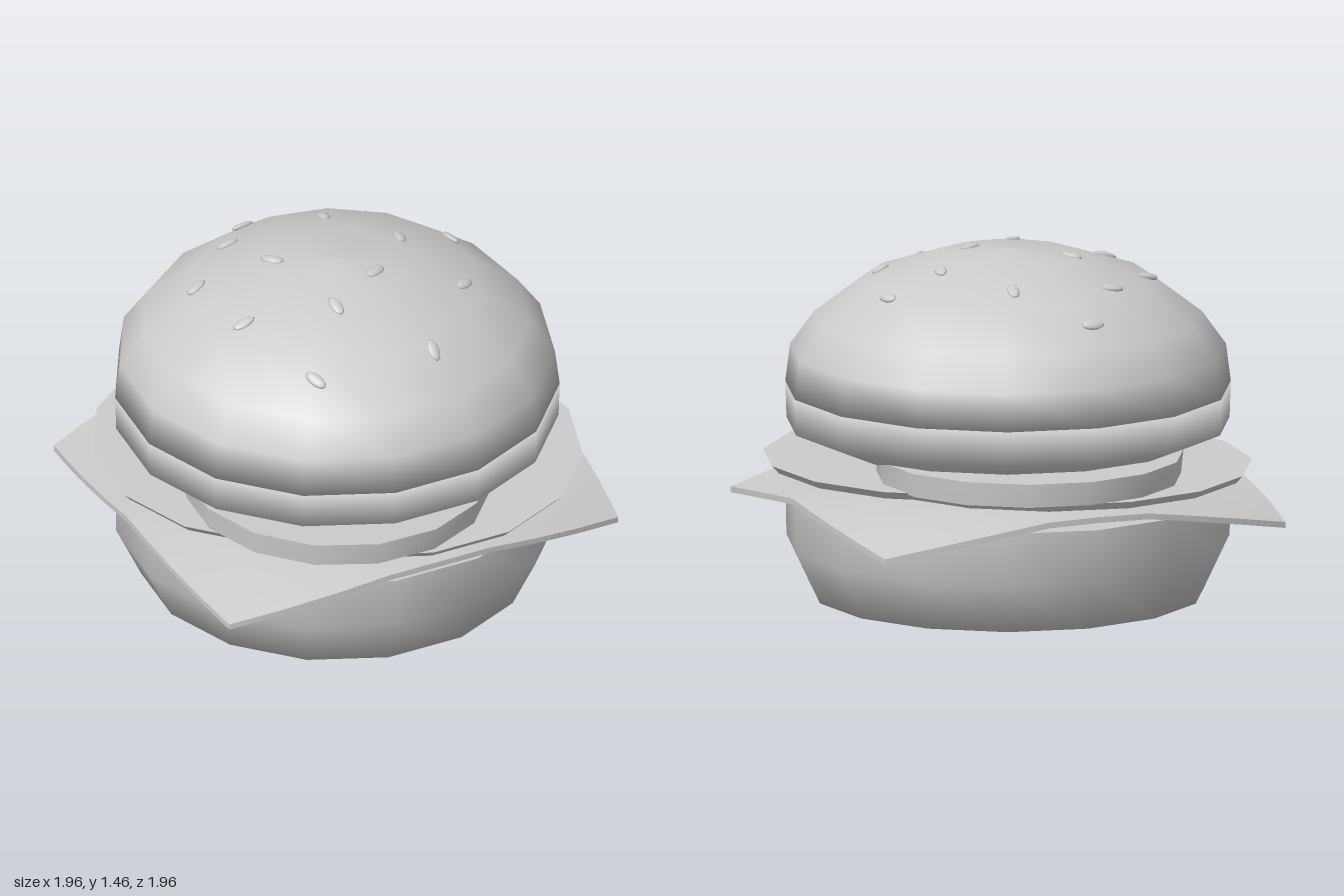
import * as THREE from 'three';
import { toCreasedNormals } from 'three/addons/utils/BufferGeometryUtils.js';

const SIDES = 15;
const material = new THREE.MeshStandardMaterial({ color: 0xcccccc });

function addMesh(group, name, geometry) {
  const mesh = new THREE.Mesh(geometry, material);
  mesh.name = name;
  group.add(mesh);
  return mesh;
}

// Round part turned from [radius, height] pairs, bottom to top
function turned(profile) {
  const points = profile.map(([r, y]) => new THREE.Vector2(r, y));
  return new THREE.LatheGeometry(points, SIDES, Math.PI);
}

// Thin slice with a slightly narrower underside
function slice(radius, thickness, taper) {
  const g = new THREE.CylinderGeometry(radius, radius - taper, thickness, SIDES, 1);
  g.rotateY(Math.PI);
  return toCreasedNormals(g, 0.7);
}

// Square sheet whose edges bulge and whose corners hang down
function cheeseGeometry() {
  const g = new THREE.BoxGeometry(2, 0.025, 2, 8, 1, 8);
  const p = g.attributes.position;
  for (let i = 0; i < p.count; i++) {
    const u = p.getX(i), v = p.getZ(i);
    const fold = Math.max(0, Math.abs(u) - 0.22) / 0.78;
    const sag = 0.04 * u * u + 0.02 * v * v + 0.09 * fold * Math.abs(v);
    p.setXYZ(i,
      u * (0.91 + 0.07 * (1 - v * v)),
      p.getY(i) + 0.505 - sag,
      v * (0.79 + 0.15 * (1 - u * u)));
  }
  return toCreasedNormals(g, 0.7);
}

const DOME = [[0.93, 0.872], [0.91, 1.03], [0.81, 1.17], [0.6, 1.33], [0.3, 1.43], [0, 1.46]];

// Seed spots on the dome: x, z, turn in degrees
const SEEDS = [
  [-0.08, -0.69, 5], [-0.27, -0.46, 5], [0.17, -0.44, 75], [-0.53, -0.24, 20],
  [-0.22, -0.15, -55], [0.35, -0.1, 75], [0.6, -0.12, 100], [-0.5, 0.13, 0],
  [0.11, 0.14, 25], [0.46, 0.27, 30], [-0.145, 0.28, 90], [-0.38, 0.55, -70],
  [0.14, 0.61, 90],
];

function addSeeds(group) {
  const seeds = new THREE.Group();
  seeds.name = 'sesameSeeds';
  group.add(seeds);
  const geometry = new THREE.SphereGeometry(1, 10, 6);
  geometry.scale(0.053, 0.014, 0.026);
  const up = new THREE.Vector3(0, 1, 0);
  for (const [x, z, turn] of SEEDS) {
    // Height and slope of the dome under the seed
    const r = Math.hypot(x, z);
    const k = DOME.findIndex(([radius]) => radius <= r);
    const [r0, y0] = DOME[k - 1], [r1, y1] = DOME[k];
    const slope = (y1 - y0) / (r1 - r0);
    const normal = new THREE.Vector3(-slope * x / r, 1, -slope * z / r).normalize();
    const seed = addMesh(seeds, 'seed', geometry);
    seed.position.set(x, y0 + slope * (r - r0), z);
    seed.quaternion.setFromUnitVectors(up, normal)
      .multiply(new THREE.Quaternion().setFromAxisAngle(up, THREE.MathUtils.degToRad(turn)));
  }
}

export function createModel() {
  const burger = new THREE.Group();
  burger.name = 'burger';

  // Buns and patty
  addMesh(burger, 'bottomBun', turned([[0, 0], [0.82, 0], [0.925, 0.22], [0.93, 0.44], [0.93, 0.44], [0, 0.44]]));
  addMesh(burger, 'patty', turned([[0, 0.605], [0.48, 0.615], [0.75, 0.645], [0.925, 0.72], [0.93, 0.868], [0, 0.868]]));
  addMesh(burger, 'topBun', turned([[0, 0.872], ...DOME]));

  // Cheese sheet
  addMesh(burger, 'cheese', cheeseGeometry());

  // Two wide thin slices, offset to opposite corners
  const wide = slice(0.845, 0.033, 0.03);
  addMesh(burger, 'wideSliceBack', wide).position.set(-0.13, 0.541, -0.13);
  addMesh(burger, 'wideSliceFront', wide).position.set(0.13, 0.552, 0.14);

  // Two thick slices, one to the front and one to the back
  const thick = slice(0.645, 0.1, 0.01);
  const front = addMesh(burger, 'thickSliceFront', thick);
  front.position.set(-0.165, 0.627, 0.33);
  front.rotation.z = -0.015;
  addMesh(burger, 'thickSliceBack', thick).position.set(0.06, 0.612, -0.35);

  addSeeds(burger);
  return burger;
}
